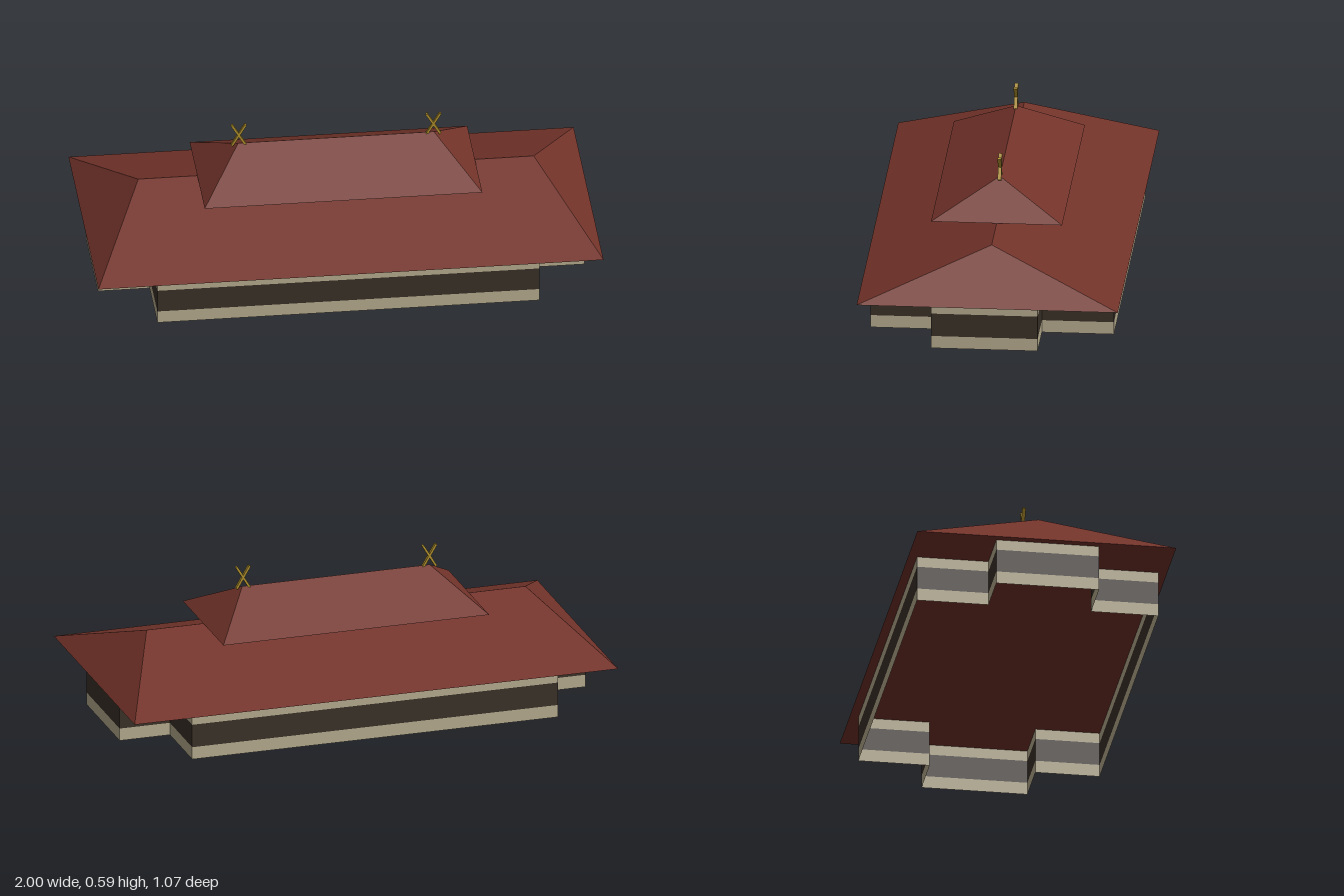
import * as THREE from 'three';

const mat = (name, color, side = THREE.FrontSide) =>
  Object.assign(new THREE.MeshStandardMaterial({ color, side }), { name });

// Flat-shaded geometry from quads and triangles, corners counter-clockwise
function facets(faces) {
  const pos = [];
  for (const f of faces)
    for (let i = 1; i < f.length - 1; i++) pos.push(...f[0], ...f[i], ...f[i + 1]);
  const g = new THREE.BufferGeometry();
  g.setAttribute('position', new THREE.Float32BufferAttribute(pos, 3));
  g.computeVertexNormals();
  return g;
}

// Closed hip roof: eave half sizes a (x) and b (z), ridge half length r
function hipRoof(a, b, r, y0, y1) {
  const A = [-a, y0, -b], B = [-a, y0, b], C = [a, y0, b], D = [a, y0, -b];
  const L = [-r, y1, 0], R = [r, y1, 0];
  return facets([[B, C, R, L], [C, D, R], [D, A, L, R], [A, B, L], [A, D, C, B]]);
}

// Upright strip following the footprint
function wallBand(plan, y0, y1) {
  return facets(plan.map(([x, z], i) => {
    const [u, w] = plan[(i + 1) % plan.length];
    return [[x, y0, z], [u, y0, w], [u, y1, w], [x, y1, z]];
  }));
}

export function createModel() {
  const roofRed = mat('roof red', 0x73332a);
  const plaster = mat('plaster beige', 0xb5aa8d, THREE.DoubleSide);
  const darkWood = mat('dark wood', 0x393026, THREE.DoubleSide);
  const gold = mat('gold', 0xb0902c);

  const model = new THREE.Group();
  model.name = 'hall';
  const add = (name, geo, material, parent = model) => {
    const m = new THREE.Mesh(geo, material);
    m.name = name;
    parent.add(m);
    return m;
  };

  // Walls: long hall with a shallow bay at each end
  const plan = [
    [-0.752, 0.474], [0.74, 0.474], [0.74, 0.222], [0.945, 0.222],
    [0.945, -0.193], [0.74, -0.193], [0.74, -0.473], [-0.752, -0.473],
    [-0.752, -0.193], [-0.954, -0.193], [-0.954, 0.21], [-0.752, 0.21],
  ];
  add('lowerWall', wallBand(plan, 0, 0.05), plaster);
  add('windowBand', wallBand(plan, 0.05, 0.143), darkWood);
  add('upperWall', wallBand(plan, 0.143, 0.186), plaster);

  // Two stacked hip roofs
  add('lowerRoof', hipRoof(0.986, 0.508, 0.772, 0.185, 0.369), roofRed);
  add('upperRoof', hipRoof(0.542, 0.255, 0.382, 0.37, 0.505), roofRed);

  // Crossed finials on the ridge ends
  for (const s of [-1, 1]) {
    const finial = new THREE.Group();
    finial.name = s < 0 ? 'rightFinial' : 'leftFinial';
    finial.position.set(s * 0.38, 0.543, 0);
    for (const t of [-1, 1])
      add('finialBar', new THREE.BoxGeometry(0.009, 0.105, 0.014), gold, finial).rotation.z = t * 0.54;
    model.add(finial);
  }

  model.rotation.y = -0.0254;
  const root = new THREE.Group();
  root.name = 'building';
  root.add(model);
  return root;
}
